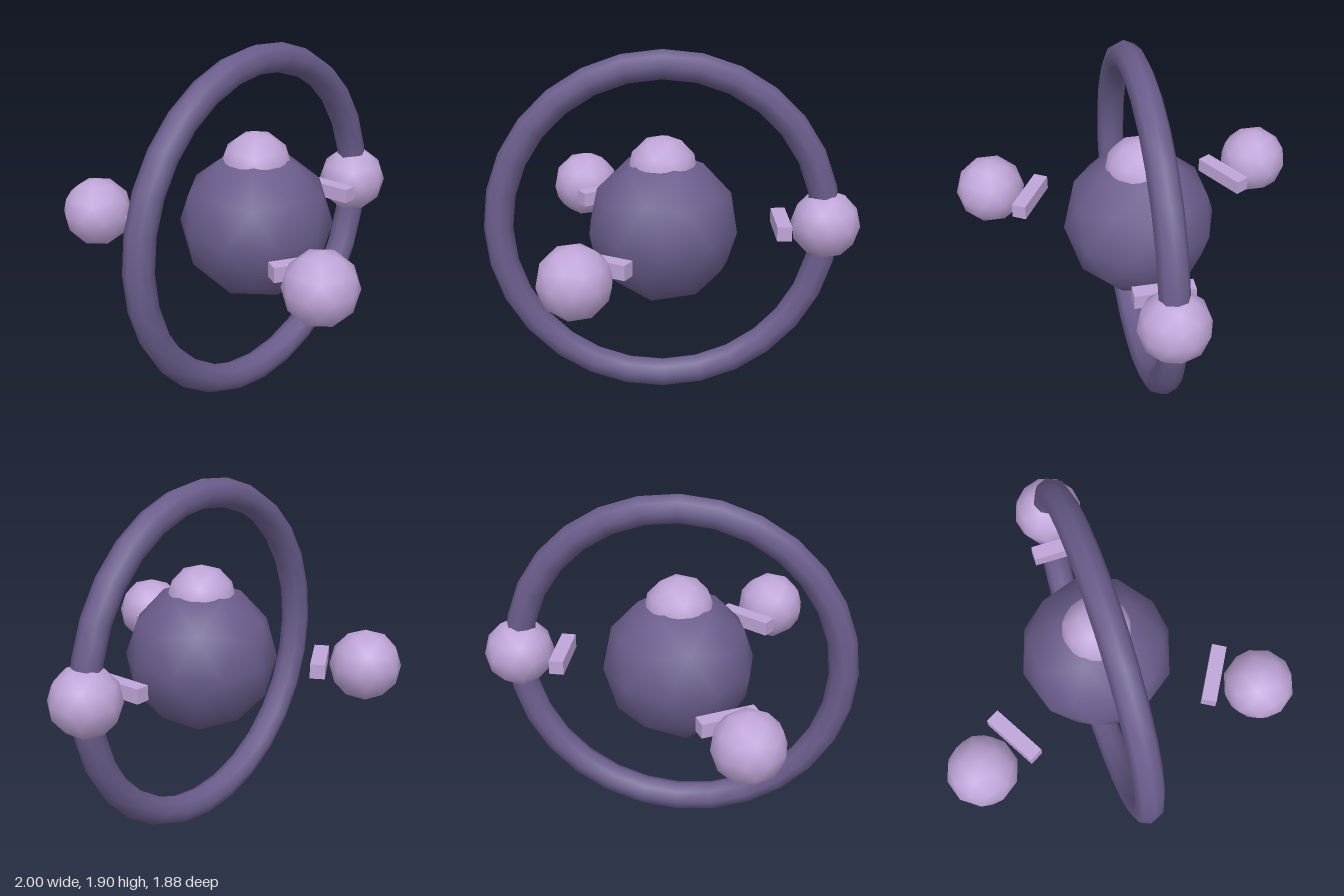
import * as THREE from 'three';

export function createModel() {
  const model = new THREE.Group();
  const dark = new THREE.MeshStandardMaterial({ color: 0x6b5d8c });
  dark.name = 'dusk purple';
  const light = new THREE.MeshStandardMaterial({ color: 0xbfa5d8 });
  light.name = 'pale lilac';

  const add = (name, geometry, material, x, y, z) => {
    const mesh = new THREE.Mesh(geometry, material);
    mesh.name = name;
    mesh.position.set(x, y, z);
    model.add(mesh);
    return mesh;
  };

  // Smooth-shaded icosphere with a corner turned to the pole
  const icoSphere = (r) =>
    new THREE.IcosahedronGeometry(r, 1).rotateZ(-Math.atan(2 / (1 + Math.sqrt(5))));

  const cx = -0.052, cy = 0.951, ringRadius = 0.871;

  // Core, the cap sunk into its top, and the upright ring around them
  add('core', icoSphere(0.406), dark, cx, cy, 0);
  const small = icoSphere(0.187);
  add('cap', small, light, cx, cy + 0.312, 0);
  add('ring', new THREE.TorusGeometry(ringRadius, 0.078, 8, 28), dark, cx, cy, 0);

  // Three orbs, each with a bar lying across its inner side
  const bar = new THREE.BoxGeometry(0.078, 0.078, 0.312);
  for (let i = 0; i < 3; i++) {
    const a = (i * Math.PI * 2) / 3;
    const c = Math.cos(a), s = Math.sin(a);
    add('orb' + (i + 1), small, light, cx + c * ringRadius, cy, s * ringRadius);
    add('bar' + (i + 1), bar, light, cx + c * 0.633, cy, s * 0.633).rotation.y = -a;
  }

  return model;
}
